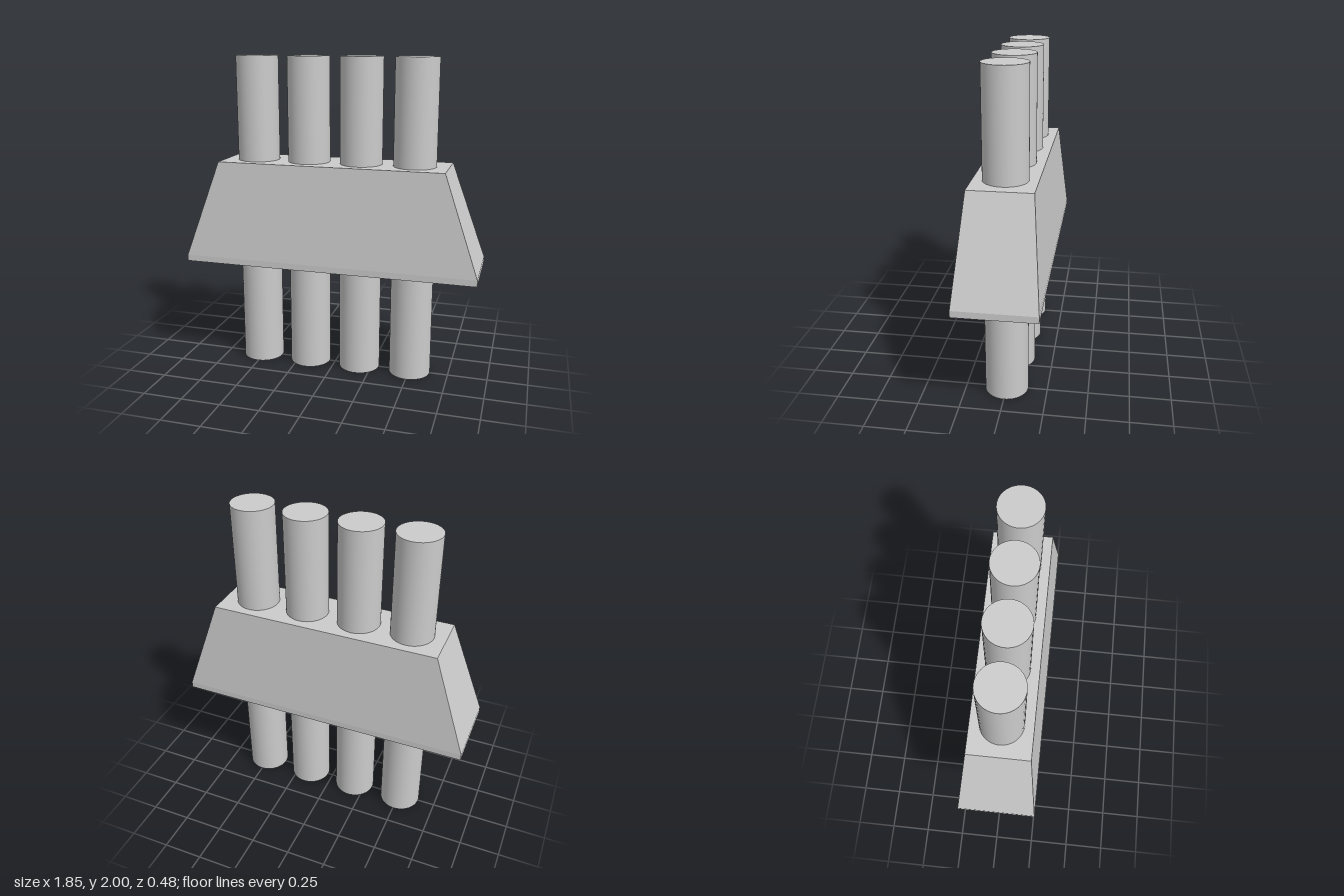
import * as THREE from 'three';

const material = new THREE.MeshStandardMaterial({ color: 0xcccccc });

// Rectangular block whose cross-section follows rows of [y, half width, half depth]
function taperedBlock(rows) {
  const box = new THREE.BoxGeometry(2, rows.length - 1, 2, 1, rows.length - 1, 1);
  const pos = box.attributes.position;
  for (let i = 0; i < pos.count; i++) {
    const [y, halfW, halfD] = rows[Math.round(pos.getY(i) + (rows.length - 1) / 2)];
    pos.setXYZ(i, Math.sign(pos.getX(i)) * halfW, y, Math.sign(pos.getZ(i)) * halfD);
  }
  const geometry = box.toNonIndexed();
  geometry.computeVertexNormals();
  return geometry;
}

export function createModel() {
  const group = new THREE.Group();

  // Block with a short vertical rim below and sloping sides above
  const block = new THREE.Mesh(
    taperedBlock([[0.7, 0.925, 0.242], [0.74, 0.925, 0.242], [1.35, 0.71, 0.187]]),
    material
  );
  block.name = 'taperedBlock';
  group.add(block);

  // Row of four round posts running right through the block
  const postGeometry = new THREE.CylinderGeometry(0.132, 0.132, 2, 48);
  for (let i = 0; i < 4; i++) {
    const post = new THREE.Mesh(postGeometry, material);
    post.name = `post${i + 1}`;
    post.position.set((i - 1.5) * 0.336 - 0.002, 1, 0);
    group.add(post);
  }

  return group;
}
